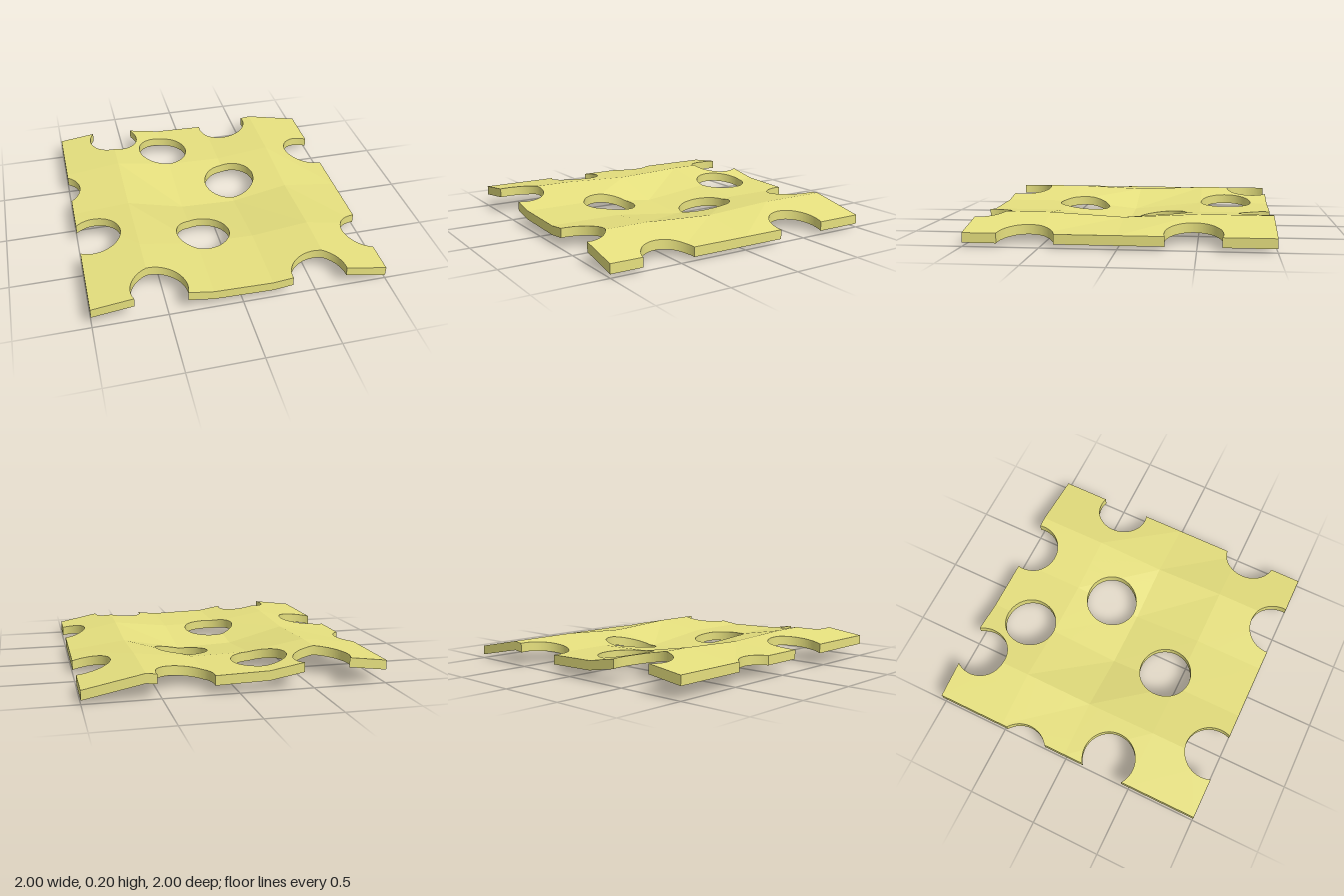
import * as THREE from 'three';

const THICKNESS = 0.065, RADIUS = 0.187, STEPS = 64, EPS = 1e-6;
const CELL_X = 0.4, CELL_Z = 0.5;

// Top height at each fold line across x: level rows, and the sagging middle row (z = 0)
const LEVEL = [0.155, 0.205, 0.135, 0.125, 0.17, 0.09];
const SAG = [0.155, 0.185, 0.08, 0.065, 0.143, 0.09];

// Hole centres [x, z]: whole holes, and those cut by the edge of the slice
const HOLES = [[-0.215, -0.69], [0.22, -0.225], [-0.13, 0.385]];
const NOTCHES = {
  front: [[-0.545, 0.93], [0.525, 0.985]],
  right: [[1.025, 0.59], [0.945, -0.48]],
  back: [[0.345, -0.963], [-0.585, -0.893]],
  left: [[-1.11, -0.31], [-0.89, 0.295]],
};

// Folded sheet height: each grid cell is two flat triangles
function heightAt(x, z) {
  const u = (x + 1) / CELL_X, v = (z + 1) / CELL_Z;
  const i = THREE.MathUtils.clamp(Math.floor(u), 0, 4);
  const j = THREE.MathUtils.clamp(Math.floor(v), 0, 3);
  const h = (a, b) => (j + b === 2 ? SAG : LEVEL)[i + a];
  const fu = u - i, fv = v - j;
  return fv > fu
    ? h(0, 0) + fv * (h(0, 1) - h(0, 0)) + fu * (h(1, 1) - h(0, 1))
    : h(0, 0) + fu * (h(1, 0) - h(0, 0)) + fv * (h(1, 1) - h(1, 0));
}

// Square outline, walked edge by edge, with round bites
function sliceShape() {
  const points = [];
  const corners = [[-1, -1], [1, -1], [1, 1], [-1, 1]].map(p => new THREE.Vector2(...p));
  Object.values(NOTCHES).forEach((notches, e) => {
    const start = corners[e];
    const along = corners[(e + 1) % 4].clone().sub(start).normalize();
    const inward = new THREE.Vector2(-along.y, along.x);
    points.push(start);
    for (const [x, z] of notches) {
      const centre = new THREE.Vector2(x, -z);
      const depth = centre.clone().sub(start).dot(inward);
      const tilt = Math.asin(depth / RADIUS);
      for (let k = 0; k <= STEPS; k++) {
        const a = Math.PI + tilt - (k / STEPS) * (Math.PI + 2 * tilt);
        points.push(centre.clone()
          .addScaledVector(along, RADIUS * Math.cos(a))
          .addScaledVector(inward, RADIUS * Math.sin(a)));
      }
    }
  });
  const shape = new THREE.Shape(points);
  for (const [x, z] of HOLES) {
    shape.holes.push(new THREE.Path().absarc(x, -z, RADIUS, 0, Math.PI * 2, true));
  }
  return shape;
}

// Cut every polygon along the line where distance(p) is zero
function splitPolygons(polygons, distance) {
  const result = [];
  for (const poly of polygons) {
    const d = poly.map(distance);
    if (d.every(v => v > -EPS) || d.every(v => v < EPS)) {
      result.push(poly);
      continue;
    }
    const above = [], below = [];
    poly.forEach((p, i) => {
      const n = (i + 1) % poly.length;
      if (d[i] > -EPS) above.push(p);
      if (d[i] < EPS) below.push(p);
      if (Math.abs(d[i]) >= EPS && Math.abs(d[n]) >= EPS && d[i] * d[n] < 0) {
        const cut = p.clone().lerp(poly[n], d[i] / (d[i] - d[n]));
        above.push(cut);
        below.push(cut);
      }
    });
    result.push(above, below);
  }
  return result;
}

function sliceGeometry() {
  const flat = new THREE.ExtrudeGeometry(sliceShape(), {
    depth: THICKNESS, bevelEnabled: false, curveSegments: STEPS,
  }).rotateX(-Math.PI / 2);
  const pos = flat.attributes.position;
  let polygons = [];
  for (let i = 0; i < pos.count; i += 3) {
    polygons.push([0, 1, 2].map(k => new THREE.Vector3().fromBufferAttribute(pos, i + k)));
  }

  // Fold lines: across, along and diagonal
  const u = p => (p.x + 1) / CELL_X, v = p => (p.z + 1) / CELL_Z;
  for (let k = 1; k <= 4; k++) polygons = splitPolygons(polygons, p => u(p) - k);
  for (let k = 1; k <= 3; k++) polygons = splitPolygons(polygons, p => v(p) - k);
  for (let k = -4; k <= 3; k++) polygons = splitPolygons(polygons, p => v(p) - u(p) - k);

  // Lift the pieces onto the folded surface
  const vertices = [];
  for (const poly of polygons) {
    for (let i = 1; i < poly.length - 1; i++) {
      for (const p of [poly[0], poly[i], poly[i + 1]]) {
        vertices.push(p.x, p.y - THICKNESS + heightAt(p.x, p.z), p.z);
      }
    }
  }
  const geometry = new THREE.BufferGeometry();
  geometry.setAttribute('position', new THREE.Float32BufferAttribute(vertices, 3));
  geometry.computeVertexNormals();
  return geometry;
}

export function createModel() {
  const group = new THREE.Group();
  group.name = 'cheeseSlice';
  const material = new THREE.MeshStandardMaterial({ color: 0xe6e07e, flatShading: true });
  const slice = new THREE.Mesh(sliceGeometry(), material);
  slice.name = 'slice';
  group.add(slice);
  return group;
}
